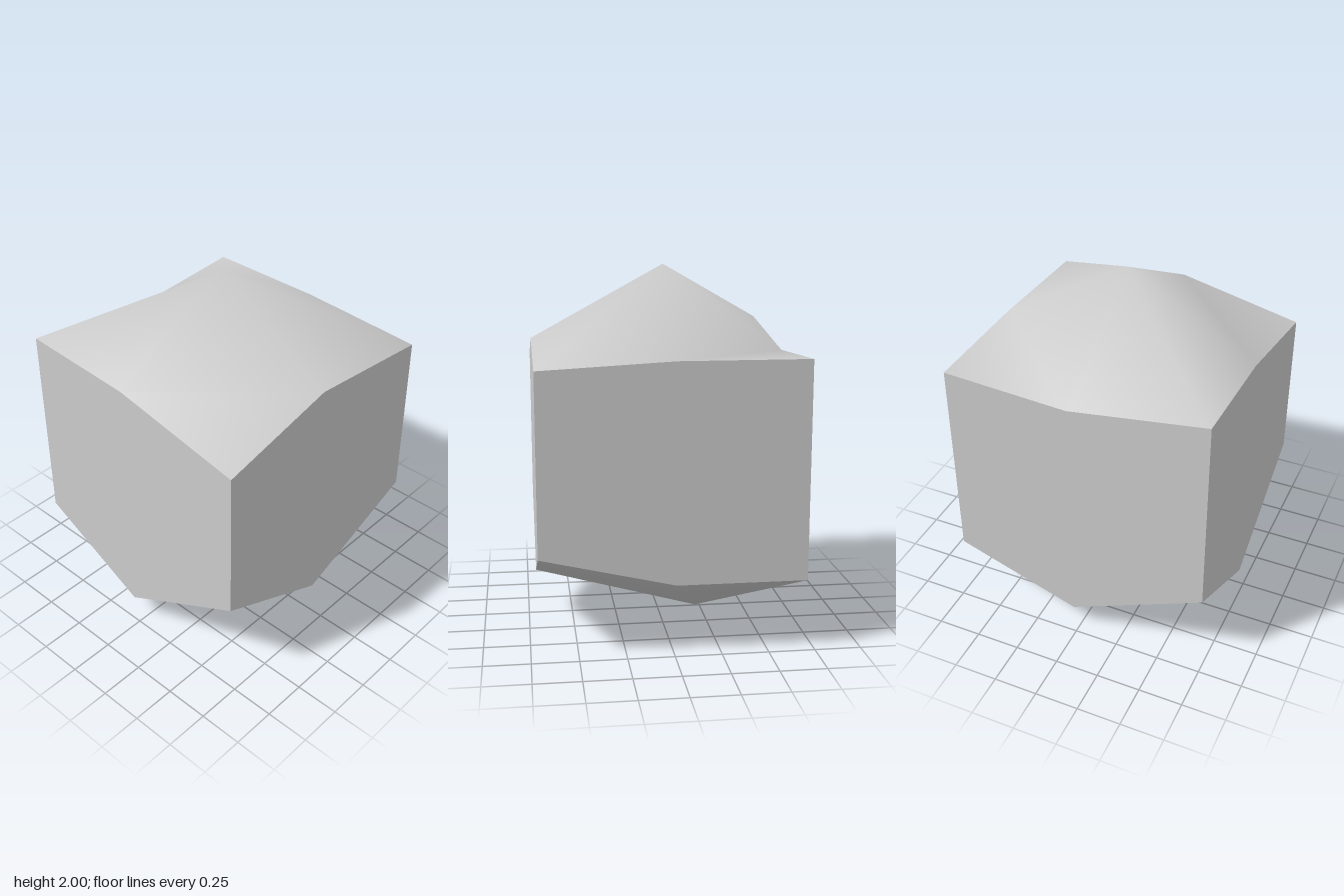
import * as THREE from 'three';

// Plan outline [x, z], counter-clockwise from above: corners alternate with edge midpoints
const W = 0.705, D = 0.735;
const outline = [[-W, D], [-0.05, D], [W, D], [W, 0.04], [W, -D], [-0.01, -D], [-W, -D], [-W, -0.033]];
const topHeights = [1.635, 1.595, 1.44, 1.595, 1.517, 1.555, 1.555, 1.515];
const bottomHeights = [0.49, 0.15, 0.563, 0.245, 0.55, 0.385, 0.385, 0.138];

const ring = (heights) => outline.map(([x, z], i) => [x, heights[i], z]);

function makeGeometry(points, index) {
  const geometry = new THREE.BufferGeometry();
  geometry.setAttribute('position', new THREE.Float32BufferAttribute(points.flat(), 3));
  if (index) geometry.setIndex(index);
  geometry.computeVertexNormals();
  return geometry;
}

export function createModel() {
  const group = new THREE.Group();
  group.name = 'block';
  const stone = new THREE.MeshStandardMaterial({ color: 0xcccccc });
  stone.name = 'light grey';

  const add = (name, geometry) => {
    const mesh = new THREE.Mesh(geometry, stone);
    mesh.name = name;
    group.add(mesh);
  };

  const top = ring(topHeights);
  const bottom = ring(bottomHeights);

  // Flat upright walls with unshared corners
  const walls = [];
  for (let i = 0; i < 8; i++) {
    const j = (i + 1) % 8;
    walls.push(bottom[i], bottom[j], top[j], bottom[i], top[j], top[i]);
  }
  add('walls', makeGeometry(walls));

  // Smooth peaked top; point 8 is the peak, and two corners fold along midpoint diagonals
  add('topCap', makeGeometry([...top, [-0.03, 2, 0]], [
    8, 0, 1, 8, 1, 3, 1, 2, 3, 8, 3, 4,
    8, 4, 5, 8, 5, 7, 5, 6, 7, 8, 7, 0,
  ]));

  // Smooth bottom, fanned out from its lowest point
  const fan = [];
  for (let i = 0; i < 8; i++) fan.push(8, (i + 1) % 8, i);
  add('bottomCap', makeGeometry([...bottom, [-0.225, 0, 0.01]], fan));

  return group;
}
